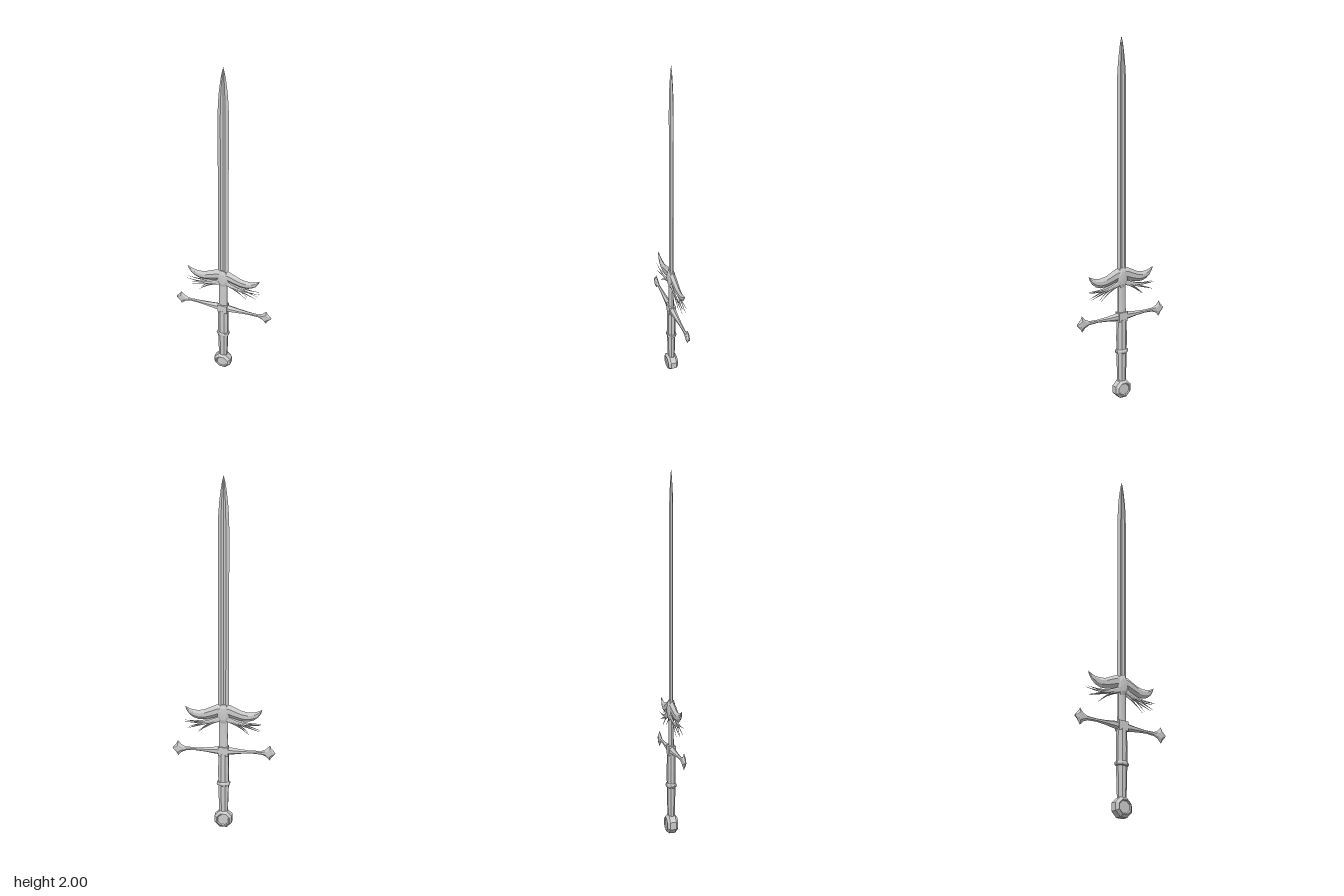
import * as THREE from 'three';

const material = new THREE.MeshStandardMaterial({ color: 0xcccccc, flatShading: true });

function addMesh(parent, name, geometry) {
  const mesh = new THREE.Mesh(geometry, material);
  mesh.name = name;
  parent.add(mesh);
  return mesh;
}

// Skin a list of closed rings (counter-clockwise about the direction of travel) and cap both ends
function loft(rings) {
  const pos = [];
  const tri = (...pts) => pts.forEach((p) => pos.push(...p));
  const n = rings[0].length;
  const middle = (ring) => [0, 1, 2].map((k) => ring.reduce((sum, p) => sum + p[k], 0) / n);
  const first = rings[0], last = rings[rings.length - 1];
  const c0 = middle(first), c1 = middle(last);
  for (let i = 0; i < n; i++) {
    const j = (i + 1) % n;
    for (let r = 0; r < rings.length - 1; r++) {
      const a = rings[r], b = rings[r + 1];
      tri(a[i], a[j], b[j]);
      tri(a[i], b[j], b[i]);
    }
    tri(c0, first[j], first[i]);
    tri(c1, last[i], last[j]);
  }
  const geometry = new THREE.BufferGeometry();
  geometry.setAttribute('position', new THREE.Float32BufferAttribute(pos, 3));
  geometry.computeVertexNormals();
  return geometry;
}

// Bevelled bar running along +x; each section is [x, bottom, top, half depth]
function barAlongX(sections, flat = 0.45, zOffset = 0) {
  return loft(sections.map(([x, lo, hi, d]) => {
    const m = (lo + hi) / 2, h = ((hi - lo) / 2) * flat;
    return [[x, hi, 0], [x, m + h, d], [x, m - h, d], [x, lo, 0], [x, m - h, -d], [x, m + h, -d]]
      .map(([px, py, pz]) => [px, py, pz + zOffset]);
  }));
}

// Thin curved spike from root to tip, bowed by the middle point
function featherGeometry(root, bend, tip, width, z) {
  const curve = new THREE.QuadraticBezierCurve(
    new THREE.Vector2(...root), new THREE.Vector2(...bend), new THREE.Vector2(...tip));
  const sections = [];
  for (let i = 0; i <= 8; i++) {
    const t = i / 8, p = curve.getPoint(t), w = width * (1 - t) + 0.0005;
    sections.push([p.x, p.y - w, p.y + w, 0.004 * (1 - t) + 0.0006]);
  }
  return barAlongX(sections, 0.3, z);
}

// Stack of eight-sided rings; each profile point is [radius, y]
function turned(profile, depth) {
  const geometry = new THREE.LatheGeometry(profile.map(([r, y]) => new THREE.Vector2(r, y)), 8, Math.PI / 8);
  return geometry.scale(1 / Math.cos(Math.PI / 8), 1, depth / Math.cos(Math.PI / 8));
}

// Bevelled octagonal medallion facing both ways along z
function medallion(profile, sx, sy) {
  return turned(profile, 1).rotateX(Math.PI / 2).scale(sx, sy, 1);
}

export function createModel() {
  const sword = new THREE.Group();
  sword.name = 'sword';

  // Blade with a central groove on each face
  const bladeSection = [[0.003, 0], [0.008, 0.013], [0, 0.03], [-0.008, 0.013],
    [-0.003, 0], [-0.008, -0.013], [0, -0.03], [0.008, -0.013]];
  const bladeTaper = [[0.66, 1], [1.72, 1], [1.8, 0.93], [1.87, 0.75], [1.93, 0.5], [1.97, 0.27], [2, 0.01]];
  addMesh(sword, 'blade', loft(bladeTaper.map(([y, s]) =>
    bladeSection.map(([z, x]) => [x * s, y, z * Math.min(1, s * 1.1)]))));

  // Plain lower blade between guard and wings
  addMesh(sword, 'ricasso', turned([[0, 0.49], [0.026, 0.49], [0.024, 0.56], [0.025, 0.68], [0, 0.68]], 0.5));

  // Grip with a ring around its middle
  addMesh(sword, 'grip', turned([[0, 0.09], [0.024, 0.09], [0.027, 0.18], [0.029, 0.26], [0.03, 0.36],
    [0.028, 0.46], [0, 0.46]], 0.75));
  addMesh(sword, 'gripRing', turned([[0.027, 0.262], [0.035, 0.267], [0.038, 0.276], [0.035, 0.285],
    [0.027, 0.29]], 0.75));

  // Octagonal wheel pommel with a recessed disc on both faces
  const pommel = addMesh(sword, 'pommel', medallion([[0, -0.025], [0.03, -0.025], [0.034, -0.031], [0.038, -0.031],
    [0.05, -0.017], [0.05, 0.017], [0.038, 0.031], [0.034, 0.031], [0.03, 0.025], [0, 0.025]], 1, 1));
  pommel.position.y = 0.053;

  // Central boss and medallion
  addMesh(sword, 'guardBlock', new THREE.BoxGeometry(0.056, 0.052, 0.04)).position.y = 0.477;
  const boss = addMesh(sword, 'wingMedallion', medallion([[0, -0.022], [0.02, -0.02], [0.032, -0.012],
    [0.032, 0.012], [0.02, 0.02], [0, 0.022]], 1, 1.75));
  boss.position.y = 0.702;

  // Each side is the other turned half way round
  for (const [side, angle] of [['left', 0], ['right', Math.PI]]) {
    const half = new THREE.Group();
    half.name = side + 'Side';
    half.rotation.y = angle;
    sword.add(half);

    // Waisted guard arm with a flared, pointed end
    addMesh(half, 'guardArm', barAlongX([
      [0, 0.452, 0.502, 0.017], [0.04, 0.455, 0.499, 0.016], [0.1, 0.464, 0.491, 0.012],
      [0.16, 0.469, 0.487, 0.008], [0.215, 0.466, 0.489, 0.006], [0.24, 0.455, 0.5, 0.008],
      [0.262, 0.432, 0.524, 0.009], [0.27, 0.449, 0.507, 0.009], [0.292, 0.474, 0.482, 0.004]]));

    // Large swept wing
    addMesh(half, 'wing', barAlongX([
      [0, 0.685, 0.757, 0.017], [0.035, 0.681, 0.755, 0.016], [0.07, 0.67, 0.739, 0.015],
      [0.105, 0.662, 0.722, 0.013], [0.14, 0.661, 0.715, 0.011], [0.17, 0.671, 0.717, 0.009],
      [0.195, 0.69, 0.725, 0.006], [0.21, 0.715, 0.732, 0.003], [0.216, 0.734, 0.736, 0.001]], 0.4));

    // Slim lower feathers, in a pair on front and back
    for (const z of [-0.01, 0.01]) {
      addMesh(half, 'upperFeather', featherGeometry([0.01, 0.685], [0.1, 0.632], [0.22, 0.648], 0.012, z));
      addMesh(half, 'middleFeather', featherGeometry([0.01, 0.675], [0.1, 0.642], [0.205, 0.607], 0.011, z));
      addMesh(half, 'lowerFeather', featherGeometry([0.01, 0.67], [0.075, 0.65], [0.145, 0.585], 0.011, z));
    }
  }
  return sword;
}
